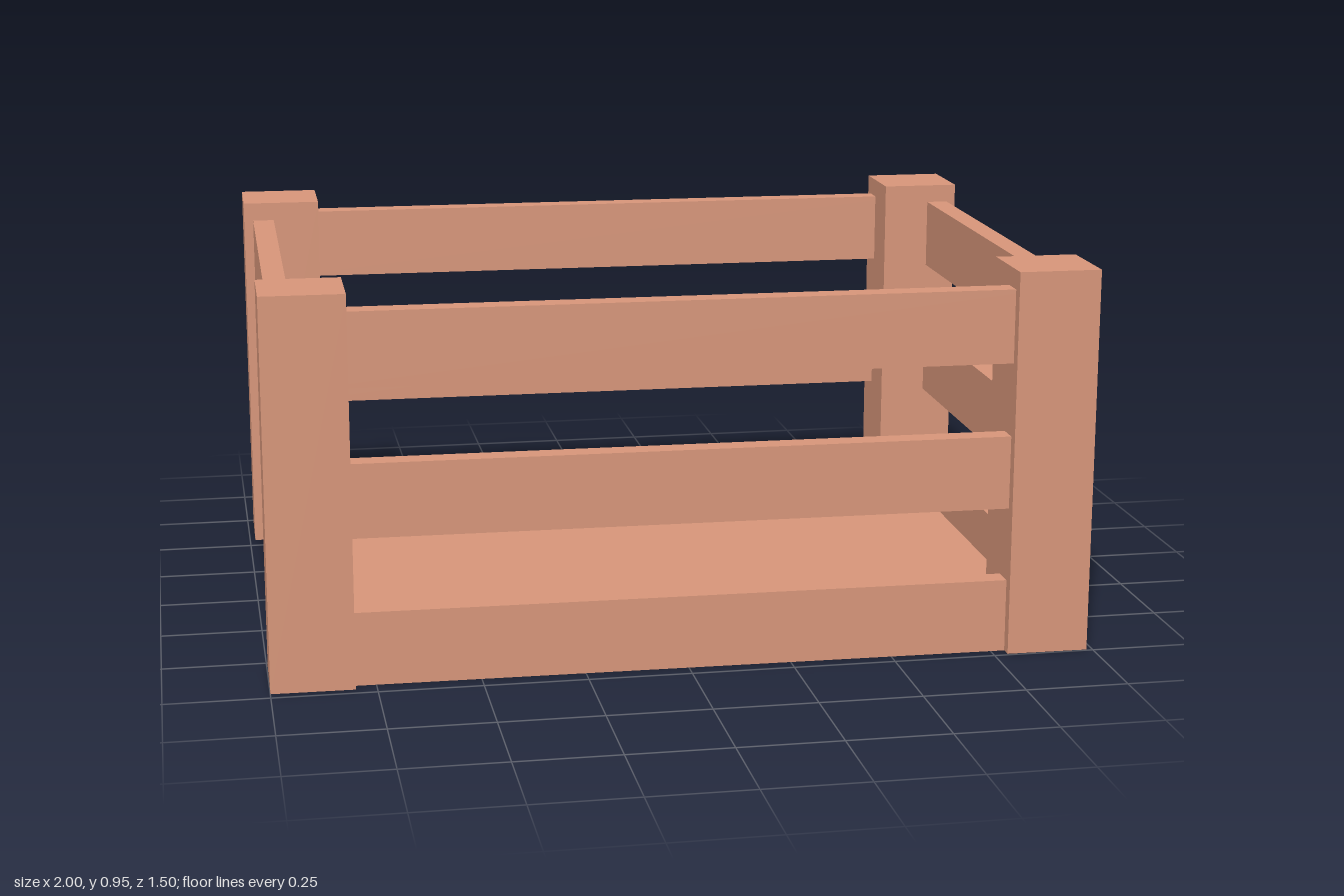
import * as THREE from 'three';

export function createModel() {
  const wood = new THREE.MeshStandardMaterial({ color: 0xd9977b });
  wood.name = 'wood';

  const crate = new THREE.Group();
  crate.name = 'crate';

  // Box given by its bottom height, top height and centre in plan
  function board(name, width, depth, bottom, top, x, z) {
    const mesh = new THREE.Mesh(new THREE.BoxGeometry(width, top - bottom, depth), wood);
    mesh.name = name;
    mesh.position.set(x, (bottom + top) / 2, z);
    crate.add(mesh);
  }

  const postX = 0.892, postZ = 0.637, postSize = 0.2;
  const outerX = 0.968, outerZ = 0.708, thickness = 0.055;
  const floorTop = thickness;

  // Floor reaching to the outer faces of the rails
  board('floor', outerX * 2, outerZ * 2, 0, floorTop, 0, 0);

  // Corner posts, a hair above the underside of the floor
  for (const sx of [-1, 1]) {
    for (const sz of [-1, 1]) {
      board('cornerPost', postSize, postSize, 0.001, 0.948, sx * postX, sz * postZ);
    }
  }

  // Three levels of rails on every side, ends buried in the posts
  for (const [bottom, top] of [[floorTop, 0.18], [0.361, 0.541], [0.721, 0.901]]) {
    for (const s of [-1, 1]) {
      board(s > 0 ? 'frontRail' : 'backRail', postX * 2, thickness, bottom, top, 0, s * (outerZ - thickness / 2));
      board(s > 0 ? 'leftRail' : 'rightRail', thickness, postZ * 2, bottom, top, s * (outerX - thickness / 2), 0);
    }
  }

  // The crate stands slightly askew
  crate.rotation.y = -0.0108;
  const model = new THREE.Group();
  model.name = 'slattedCrate';
  model.add(crate);
  return model;
}
